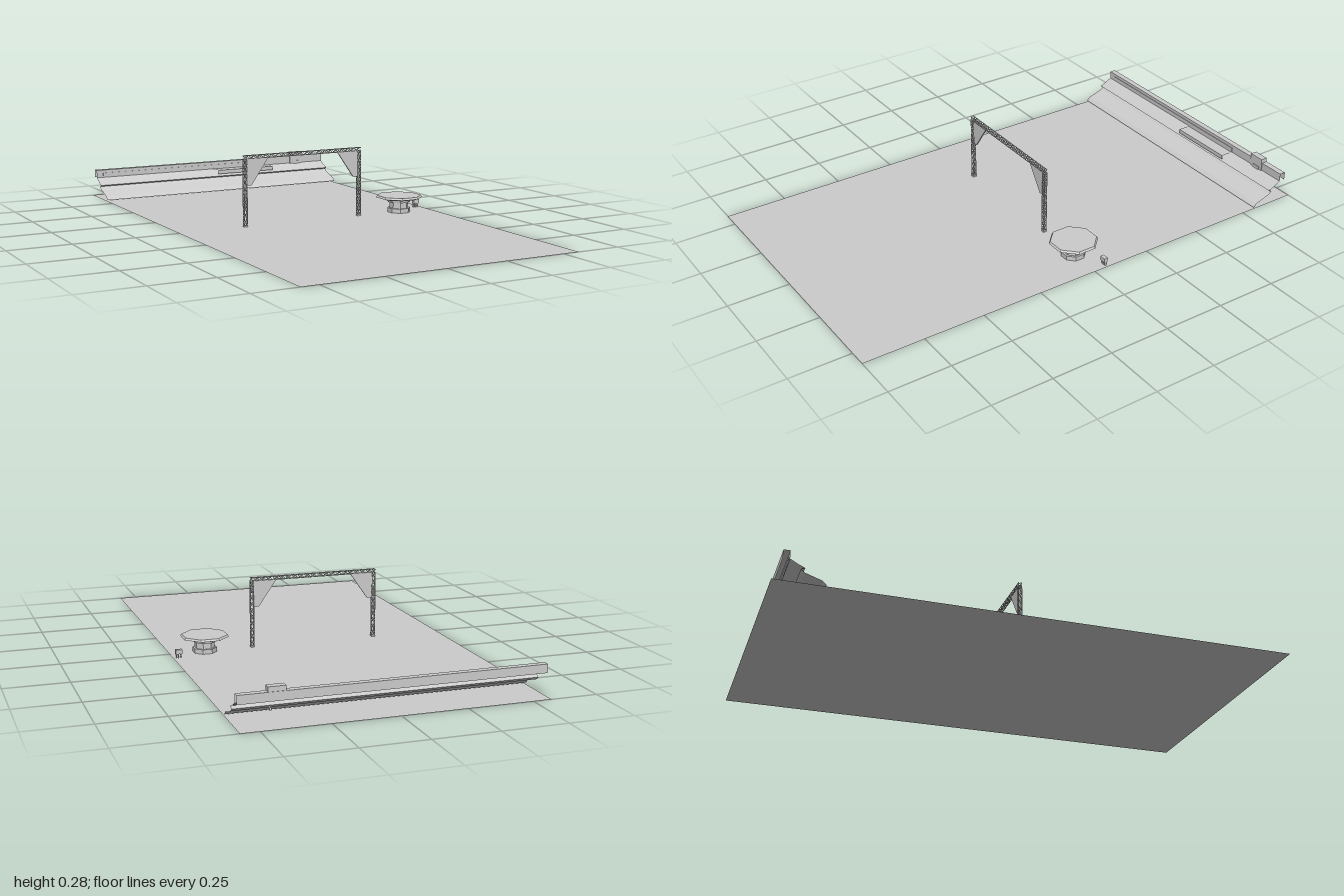
import * as THREE from 'three';
import { mergeGeometries } from 'three/addons/utils/BufferGeometryUtils.js';

const grey = new THREE.MeshStandardMaterial({ color: 0xcccccc, flatShading: true, side: THREE.DoubleSide });

function add(parent, name, geometry) {
  const mesh = new THREE.Mesh(geometry, grey);
  mesh.name = name;
  parent.add(mesh);
  return mesh;
}

// Box given by its min and max corners
function box(x0, x1, y0, y1, z0, z1) {
  return new THREE.BoxGeometry(x1 - x0, y1 - y0, z1 - z0)
    .translate((x0 + x1) / 2, (y0 + y1) / 2, (z0 + z1) / 2);
}

// Open sheet: a [z, y] profile swept along x
function sheet(profile, x0, x1) {
  const pos = [], index = [];
  profile.forEach(([z, y], i) => {
    pos.push(x0, y, z, x1, y, z);
    if (i) {
      const a = 2 * i - 2;
      index.push(a, a + 1, a + 3, a, a + 3, a + 2);
    }
  });
  const g = new THREE.BufferGeometry();
  g.setAttribute('position', new THREE.Float32BufferAttribute(pos, 3));
  g.setIndex(index);
  g.computeVertexNormals();
  return g;
}

// Square bar between two points
function bar(a, b, w) {
  const dir = new THREE.Vector3().subVectors(b, a);
  const g = new THREE.BoxGeometry(w, dir.length(), w);
  g.applyQuaternion(new THREE.Quaternion().setFromUnitVectors(new THREE.Vector3(0, 1, 0), dir.clone().normalize()));
  return g.translate((a.x + b.x) / 2, (a.y + b.y) / 2, (a.z + b.z) / 2);
}

// Upright lattice column: four chords and zigzag braces on each face
function lattice(length, width, cells) {
  const h = width / 2 - 0.001, parts = [], step = length / cells;
  const corners = [[-h, -h], [h, -h], [h, h], [-h, h]];
  corners.forEach(([x, z], k) => {
    const [nx, nz] = corners[(k + 1) % 4];
    parts.push(box(x - 0.001, x + 0.001, 0, length, z - 0.001, z + 0.001));
    for (let i = 0; i < cells; i++) {
      const flip = i % 2;
      const a = new THREE.Vector3(flip ? nx : x, i * step, flip ? nz : z);
      const b = new THREE.Vector3(flip ? x : nx, (i + 1) * step, flip ? z : nz);
      parts.push(bar(a, b, 0.002));
    }
  });
  return mergeGeometries(parts);
}

function createGate() {
  const gate = new THREE.Group();
  gate.name = 'trussGate';
  const w = 0.015, half = 0.2665;
  for (const s of [-1, 1]) {
    add(gate, 'gateLeg', lattice(0.265, w, 20)).position.set(s * (half - w / 2), 0.005, 0);
    add(gate, 'gateFoot', box(-0.0075, 0.0075, 0, 0.006, -0.0075, 0.0075)).position.x = s * (half - w / 2);
    // Corner gusset
    const shape = new THREE.Shape([[0.2515, 0.272], [0.157, 0.272], [0.2315, 0.165], [0.2515, 0.165]]
      .map(([x, y]) => new THREE.Vector2(s * x, y)));
    add(gate, 'cornerPanel', new THREE.ExtrudeGeometry(shape, { depth: 0.006, bevelEnabled: false }).translate(0, 0, -0.003));
  }
  add(gate, 'gateBeam', lattice(2 * half, w, 40).rotateZ(-Math.PI / 2).translate(-half, 0.2775, 0));
  gate.position.x = -0.028;
  return gate;
}

// Octagonal platform on a waisted pedestal
function createPlatform() {
  const platform = new THREE.Group();
  platform.name = 'octagonPlatform';
  const oct = (name, rTop, rBottom, y0, y1) => {
    const k = 1 / Math.cos(Math.PI / 8);
    const g = new THREE.CylinderGeometry(rTop * k, rBottom * k, y1 - y0, 8).rotateY(Math.PI / 8);
    add(platform, name, g.translate(0, (y0 + y1) / 2, 0));
  };
  oct('pedestalBase', 0.045, 0.045, 0, 0.018);
  oct('pedestalWaist', 0.037, 0.037, 0.018, 0.042);
  oct('pedestalCollar', 0.046, 0.043, 0.042, 0.056);
  oct('platformUnderside', 0.09, 0.07, 0.056, 0.062);
  oct('platformTop', 0.085, 0.09, 0.062, 0.07);
  platform.position.x = 0.428;
  return platform;
}

// Tiered bank along the back edge
function createBank() {
  const bank = new THREE.Group();
  bank.name = 'backBank';
  const E = 0.57;
  add(bank, 'lowerSlope', sheet([[-0.807, 0.006], [-0.822, 0.02], [-0.885, 0.041], [-0.9, 0.053]], -E, E));
  add(bank, 'ledge', sheet([[-0.9, 0.053], [-0.885, 0.06], [-0.907, 0.069]], -E, E));
  add(bank, 'upperSlope', sheet([[-0.907, 0.069], [-0.94, 0.087]], -E, E));
  add(bank, 'backWall', sheet([[-0.94, 0.087], [-0.94, 0.12], [-0.965, 0.12], [-0.965, 0.087]], -E, E));
  add(bank, 'wallPanel', box(-0.54, 0, 0.09, 0.107, -0.941, -0.938));
  // Wedge stage sitting on the upper slope
  add(bank, 'stage', sheet([[-0.907, 0.07], [-0.885, 0.07], [-0.885, 0.087], [-0.955, 0.087]], 0, 0.28));
  add(bank, 'stageBackPanel', box(0, 0.28, 0.087, 0.107, -0.941, -0.937));
  // Cabin on the wall with a bracket below
  add(bank, 'cabinTop', box(0.398, 0.462, 0.113, 0.138, -0.963, -0.935));
  add(bank, 'cabinBase', box(0.398, 0.462, 0.085, 0.113, -0.955, -0.937));
  add(bank, 'cabinWindow', box(0.415, 0.448, 0.083, 0.098, -0.94, -0.934));
  add(bank, 'cabinBracket', box(0.44, 0.447, 0.045, 0.055, -0.932, -0.915));
  return bank;
}

// Small box on legs beside the platform
function createStand() {
  const stand = new THREE.Group();
  stand.name = 'smallStand';
  add(stand, 'standBox', box(0.535, 0.561, 0.016, 0.033, -0.066, -0.05));
  for (const x of [0.539, 0.549, 0.557])
    add(stand, 'standLeg', box(x - 0.002, x + 0.002, 0, 0.016, -0.062, -0.055));
  return stand;
}

export function createModel() {
  const model = new THREE.Group();
  model.name = 'arena';
  add(model, 'ground', new THREE.PlaneGeometry(1.14, 2).rotateX(-Math.PI / 2));
  model.add(createBank(), createGate(), createPlatform(), createStand());
  return model;
}
